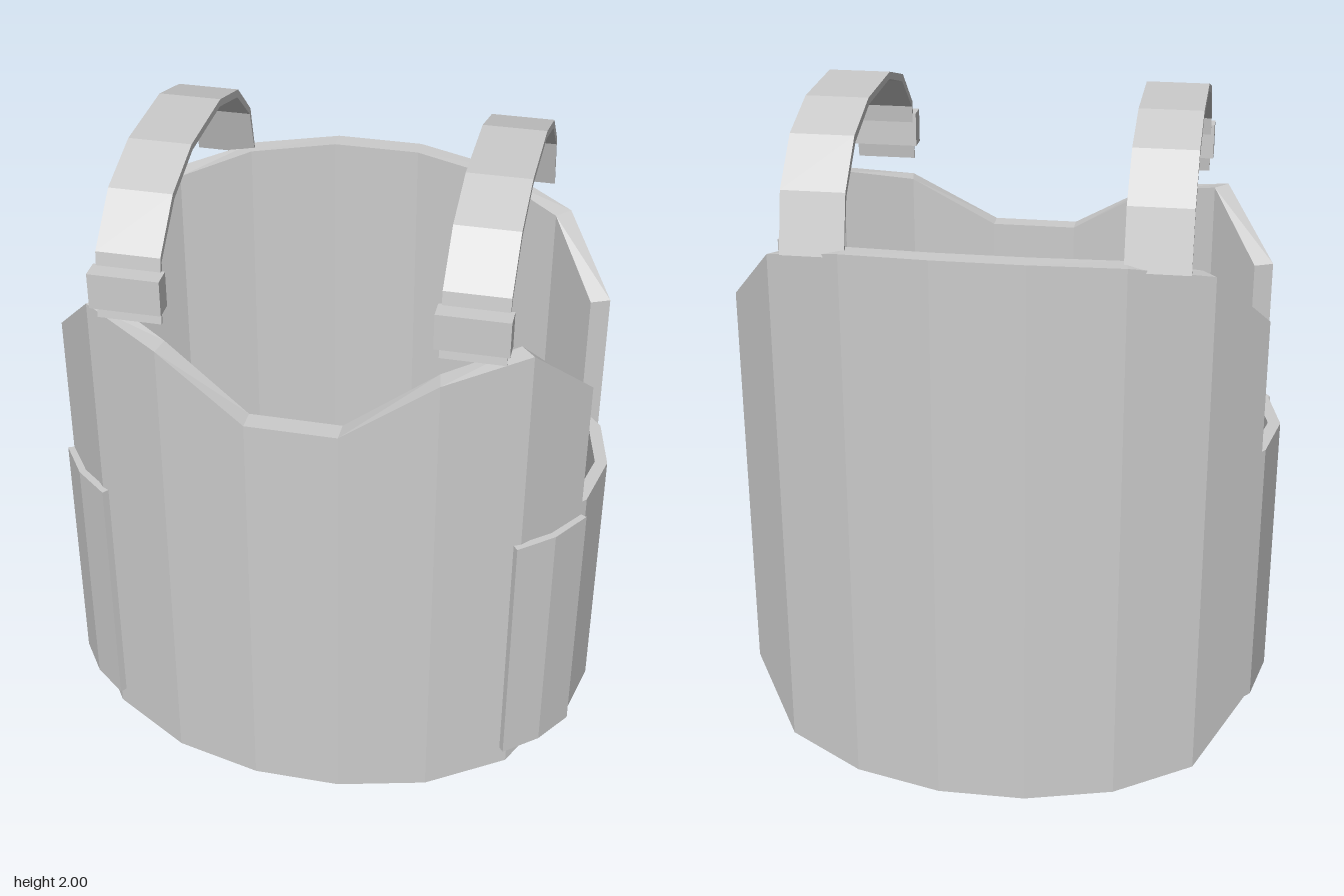
import * as THREE from 'three';

const fabric = new THREE.MeshStandardMaterial({ color: 0xcccccc });
fabric.name = 'lightGrey';

// Curved wall from stations [outerX, outerZ, innerX, innerZ, bottom, top],
// running left to right as seen from outside
function wall(stations) {
  const pos = [];
  const quad = (a, b, c, d) => pos.push(...a, ...b, ...c, ...a, ...c, ...d);
  const rings = stations.map(([ox, oz, ix, iz, y0, y1]) =>
    [[ox, y0, oz], [ox, y1, oz], [ix, y1, iz], [ix, y0, iz]]);
  for (let i = 0; i < rings.length - 1; i++) {
    const p = rings[i], q = rings[i + 1];
    for (let k = 0; k < 4; k++) {
      const n = (k + 1) % 4;
      quad(p[k], q[k], q[n], p[n]);
    }
  }
  const first = rings[0], last = rings[rings.length - 1];
  quad(first[0], first[1], first[2], first[3]);
  quad(last[3], last[2], last[1], last[0]);
  const g = new THREE.BufferGeometry();
  g.setAttribute('position', new THREE.Float32BufferAttribute(pos, 3));
  g.computeVertexNormals();
  return g;
}

// Mirror stations across x, keeping their left-to-right order
const mirrored = (s) => s.map(([ox, oz, ix, iz, a, b]) => [-ox, oz, -ix, iz, a, b]).reverse();

export function createModel() {
  const vest = new THREE.Group();
  vest.name = 'vest';
  const add = (name, geometry) => {
    const m = new THREE.Mesh(geometry, fabric);
    m.name = name;
    vest.add(m);
    return m;
  };

  // Chest and back panels: shared plan curve, own top and bottom heights
  const plan = [[0.13, 0.595, 0.13, 0.535], [0.39, 0.53, 0.38, 0.47],
    [0.62, 0.41, 0.58, 0.365], [0.77, 0.235, 0.715, 0.21]];
  const panel = (heights) => {
    const half = plan.map((p, i) => [...p, ...heights[i]]);
    return wall([...mirrored(half), ...half]);
  };
  add('frontPanel', panel([[0.1, 1.41], [0.1, 1.57], [0.13, 1.62], [0.26, 1.43]]));
  add('backPanel', panel([[0, 1.695], [0.005, 1.675], [0.035, 1.62], [0.2, 1.43]]))
    .rotation.y = Math.PI;

  // Side bands tucked inside both panels
  const band = [[0.66, 0.33, 0.63, 0.29], [0.78, 0.19, 0.745, 0.175], [0.82, 0, 0.783, 0],
    [0.78, -0.19, 0.745, -0.175], [0.66, -0.33, 0.63, -0.29]].map((p) => [...p, 0.17, 1.01]);
  add('leftSideBand', wall(band));
  add('rightSideBand', wall(mirrored(band)));

  // Closing flaps lying over the chest panel
  const flap = [[0.613, 0.437, 0.6, 0.42], [0.712, 0.355, 0.697, 0.34],
    [0.787, 0.243, 0.77, 0.235]].map((p) => [...p, 0.19, 0.987]);
  add('leftFlap', wall(flap));
  add('rightFlap', wall(mirrored(flap)));

  // Shoulder straps: side profile as [z, y], extruded across x
  const outer = [[0.492, 1.635], [0.468, 1.825], [0.333, 1.945], [0.145, 2],
    [-0.145, 2], [-0.333, 1.945], [-0.462, 1.825], [-0.506, 1.655]];
  const inner = [[-0.5, 1.655], [-0.452, 1.81], [-0.322, 1.925], [-0.14, 1.98],
    [0.14, 1.98], [0.322, 1.925], [0.458, 1.81], [0.486, 1.635]];
  const profile = new THREE.Shape([...outer, ...inner].map(([z, y]) => new THREE.Vector2(z, y)));
  for (const side of [1, -1]) {
    const label = side > 0 ? 'left' : 'right';
    const strap = new THREE.ExtrudeGeometry(profile, { depth: 0.18, bevelEnabled: false });
    strap.rotateY(-Math.PI / 2).translate(0.09 + side * 0.467, 0, 0);
    add(label + 'Strap', strap);
    add(label + 'Buckle', new THREE.BoxGeometry(0.2, 0.105, 0.057))
      .position.set(side * 0.467, 1.733, 0.495);
  }
  return vest;
}
